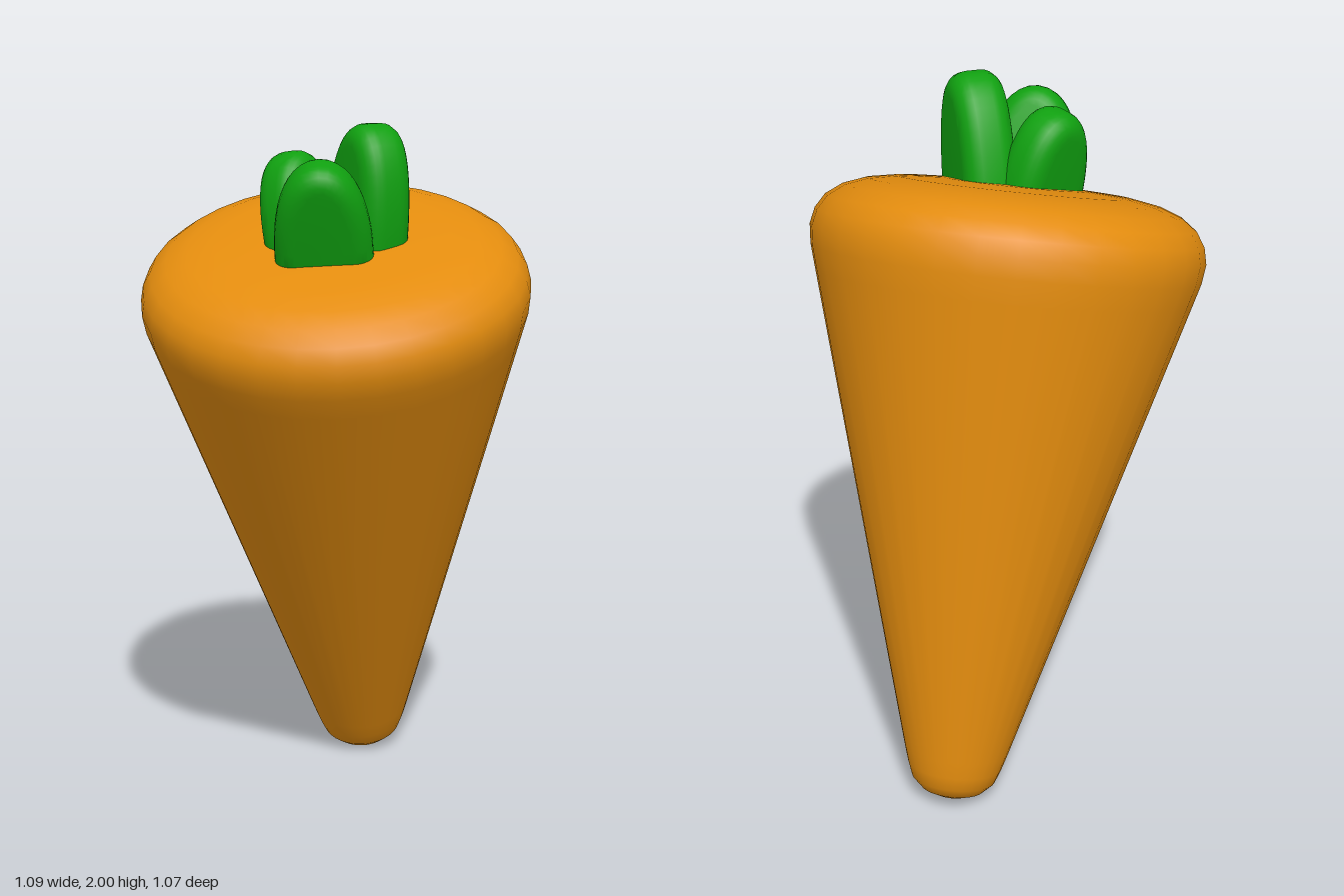
import * as THREE from 'three';
import { toCreasedNormals } from 'three/addons/utils/BufferGeometryUtils.js';

const orange = new THREE.MeshStandardMaterial({ color: 0xe38c0e });
orange.name = 'carrot orange';
const green = new THREE.MeshStandardMaterial({ color: 0x10a010 });
green.name = 'leaf green';

// Plump arched leaf running from base to tip, spread along widthDir
function leaf(name, base, tip, widthDir, width, thick) {
  const b = new THREE.Vector3(...base);
  const up = new THREE.Vector3(...tip).sub(b);
  const h = up.length();
  up.normalize();
  const normal = new THREE.Vector3(...widthDir).cross(up).normalize();
  const side = up.clone().cross(normal);

  const bevel = 0.055;
  const w = width / 2 - bevel;
  const top = h - bevel;
  const shape = new THREE.Shape();
  shape.moveTo(-w, 0);
  shape.lineTo(w, 0);
  shape.bezierCurveTo(w, top * 0.6, w * 0.55, top, 0, top);
  shape.bezierCurveTo(-w * 0.55, top, -w, top * 0.6, -w, 0);
  const depth = thick - 2 * bevel;
  const geo = new THREE.ExtrudeGeometry(shape, {
    depth, bevelEnabled: true, bevelSize: bevel, bevelThickness: bevel,
    bevelSegments: 6, curveSegments: 12,
  });
  geo.translate(0, 0, -depth / 2);
  geo.applyMatrix4(new THREE.Matrix4().makeBasis(side, up, normal).setPosition(b));
  const mesh = new THREE.Mesh(toCreasedNormals(geo, 0.9), green);
  mesh.name = name;
  return mesh;
}

export function createModel() {
  const model = new THREE.Group();
  model.name = 'carrot';

  // Tapered root with rounded shoulder and tip, leaning on its axis
  const profile = [
    [0, -1.6], [0.05, -1.597], [0.09, -1.58], [0.12, -1.55], [0.135, -1.51], [0.15, -1.46],
    [0.525, -0.12], [0.543, -0.055], [0.55, 0], [0.54, 0.045], [0.515, 0.085],
    [0.47, 0.118], [0.41, 0.14], [0.33, 0.154], [0.2, 0.162], [0, 0.166],
  ].map(([r, y]) => new THREE.Vector2(r, y));
  const root = new THREE.Mesh(new THREE.LatheGeometry(profile, 32), orange);
  root.name = 'root';
  const axis = new THREE.Vector3(-0.166, 0.95, 0.258).normalize();
  root.quaternion.setFromUnitVectors(new THREE.Vector3(0, 1, 0), axis);
  root.position.set(0, 1.535, 0);
  model.add(root);

  // Three stubby leaves around the crown
  model.add(
    leaf('tallLeaf', [0.07, 1.67, 0.045], [0.075, 2.0, 0.1], [0.04, 0, 0.29], 0.28, 0.15),
    leaf('backLeaf', [-0.08, 1.66, -0.02], [-0.125, 1.92, -0.045], [0.86, 0, -0.5], 0.26, 0.14),
    leaf('frontLeaf', [-0.09, 1.66, 0.135], [-0.14, 1.91, 0.215], [0.92, 0, 0.38], 0.27, 0.14),
  );
  return model;
}
